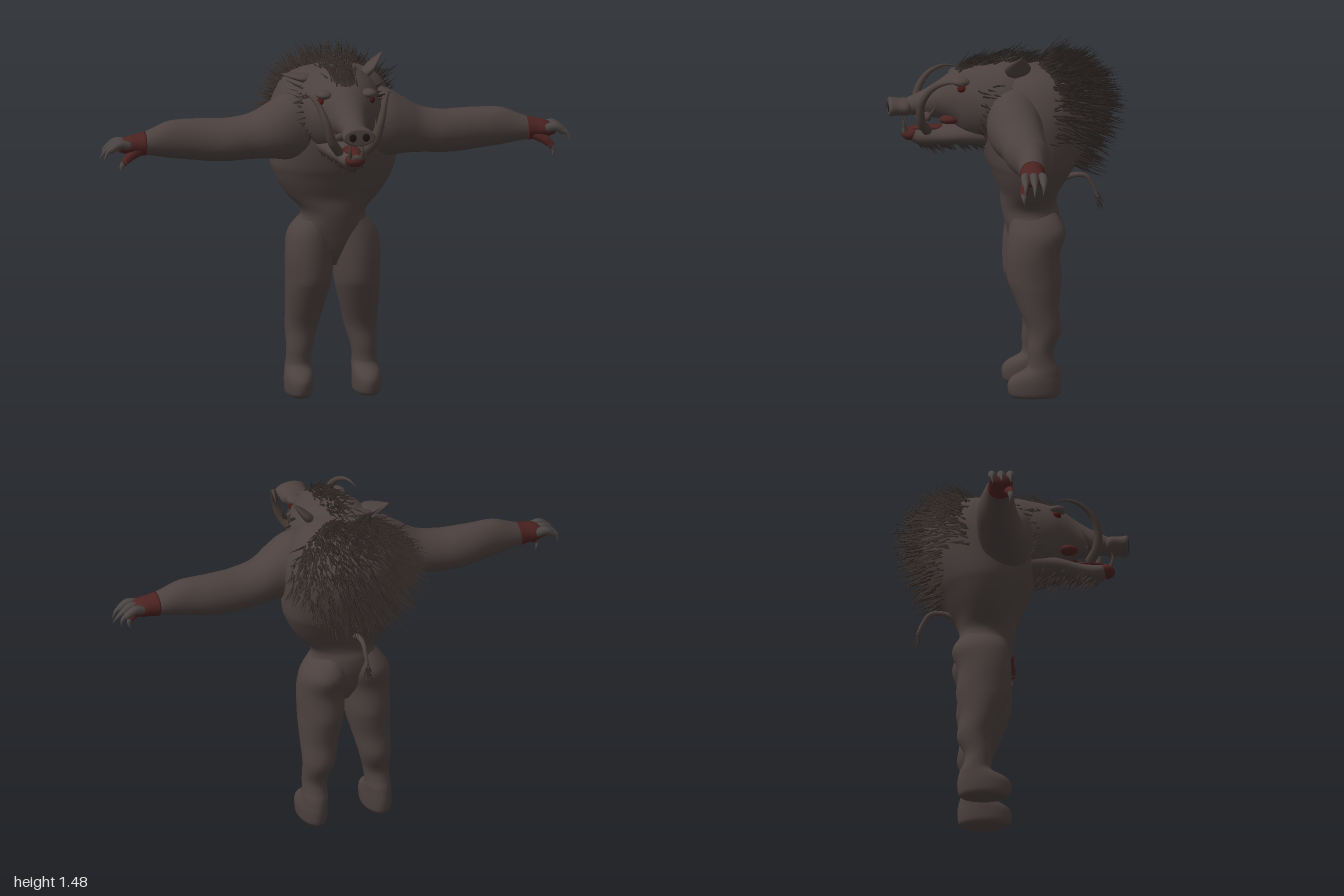
import * as THREE from 'three';
import { mergeGeometries } from 'three/addons/utils/BufferGeometryUtils.js';

const V = (x, y, z) => new THREE.Vector3(x, y, z);
const mat = (name, color, side = THREE.FrontSide) => {
  const m = new THREE.MeshStandardMaterial({ color, side });
  m.name = name;
  return m;
};

// Small seeded random
let seed = 7;
const rnd = () => (seed = (seed * 16807) % 2147483647) / 2147483647;

// Smooth surface through rows [position, centreA, centreB, radiusA, radiusB].
// Ring axes: 'y' uses (z, x), 'x' uses (y, z), 'z' uses (x, y).
function surface(axis, rows) {
  const last = rows.length - 1;
  return (t, a) => {
    const i = Math.min(Math.floor(t), last - 1), f = t - i;
    const row = k => rows[THREE.MathUtils.clamp(k, 0, last)];
    const [p, ca, cb, ra, rb] = rows[0].map((_, c) => {
      const [p0, p1, p2, p3] = [row(i - 1)[c], row(i)[c], row(i + 1)[c], row(i + 2)[c]];
      return p1 + 0.5 * f * (p2 - p0 + f * (2 * p0 - 5 * p1 + 4 * p2 - p3 + f * (3 * (p1 - p2) + p3 - p0)));
    });
    const A = ca + ra * Math.cos(a), B = cb + rb * Math.sin(a);
    return axis === 'y' ? V(B, p, A) : axis === 'x' ? V(p, A, B) : V(A, B, p);
  };
}

// Closed skin over a surface, with capped ends
function loft(axis, rows, sides = 28, steps = 4) {
  const at = surface(axis, rows), n = (rows.length - 1) * steps, pos = [], idx = [];
  for (let i = 0; i <= n; i++)
    for (let j = 0; j < sides; j++) pos.push(...at(i / steps, j / sides * Math.PI * 2).toArray());
  for (const i of [0, n])
    pos.push(...at(i / steps, 0).add(at(i / steps, Math.PI)).multiplyScalar(0.5).toArray());
  const c0 = (n + 1) * sides, c1 = c0 + 1;
  for (let j = 0; j < sides; j++) {
    const k = (j + 1) % sides;
    for (let i = 0; i < n; i++) {
      const a = i * sides;
      idx.push(a + j, a + k, a + sides + j, a + k, a + sides + k, a + sides + j);
    }
    idx.push(c0, k, j, c1, n * sides + j, n * sides + k);
  }
  const g = new THREE.BufferGeometry();
  g.setAttribute('position', new THREE.Float32BufferAttribute(pos, 3));
  g.setIndex(idx);
  g.computeVertexNormals();
  return g;
}

// Tube whose radius shrinks from r to r * end
function taper(points, r, end = 0.03, power = 1, n = 20) {
  const curve = new THREE.CatmullRomCurve3(points.map(p => V(...p)));
  const g = new THREE.TubeGeometry(curve, n, r, 10), p = g.attributes.position, v = V();
  for (let i = 0; i < p.count; i++) {
    const t = Math.floor(i / 11) / n, c = curve.getPointAt(t);
    v.fromBufferAttribute(p, i).sub(c).multiplyScalar(1 - (1 - end) * t ** power).add(c);
    p.setXYZ(i, v.x, v.y, v.z);
  }
  return g;
}

const ball = (x, y, z, a, b, c) => new THREE.SphereGeometry(1, 18, 12).scale(a, b, c).translate(x, y, z);

// Mirror copy across x = 0 with corrected corner order
function mirror(g) {
  const m = g.clone().scale(-1, 1, 1), ix = m.index.array;
  for (let i = 0; i < ix.length; i += 3) [ix[i], ix[i + 1]] = [ix[i + 1], ix[i]];
  return m;
}

// One bristle from a root along a direction
function bristle(root, dir, len, r) {
  const g = new THREE.ConeGeometry(r, len, 3, 1, true).translate(0, len * 0.42, 0);
  g.applyQuaternion(new THREE.Quaternion().setFromUnitVectors(V(0, 1, 0), dir.clone().normalize()));
  return g.translate(root.x, root.y, root.z);
}

// Bristles growing from a surface, leaning along a given vector
function fur(at, count, pick, lean, stand, len, r) {
  const list = [], e = 0.02;
  for (let i = 0; i < count; i++) {
    const [t, a] = pick(), p = at(t, a);
    const n = at(t, a + e).sub(p).cross(at(t + e, a).sub(p)).normalize();
    const d = n.multiplyScalar(stand).add(lean).add(V(rnd() - 0.5, rnd() - 0.5, rnd() - 0.5).multiplyScalar(0.5));
    list.push(bristle(p, d, len * (0.5 + 0.85 * rnd()), r));
  }
  return mergeGeometries(list);
}

export function createModel() {
  seed = 7;
  const model = new THREE.Group();
  const skin = mat('skin', 0x4c413f), hair = mat('bristle hair', 0x352d2a, THREE.DoubleSide);
  const flesh = mat('red flesh', 0x4b2321), claw = mat('claw', 0x4a4442);
  const tusk = mat('tusk', 0x483d38), eye = mat('eye', 0x451513), dark = mat('nostril', 0x1c1514);
  const add = (name, g, m) => {
    const mesh = new THREE.Mesh(g, m);
    mesh.name = name;
    model.add(mesh);
  };
  const pair = (name, g, m) => {
    add(name + 'Left', g, m);
    add(name + 'Right', mirror(g), m);
  };

  // Hunched torso
  const torso = [
    [0.55, -0.1, 0, 0.04, 0.03], [0.62, -0.1, 0, 0.085, 0.09], [0.70, -0.1, 0, 0.11, 0.16],
    [0.76, -0.093, 0, 0.118, 0.136], [0.80, -0.085, 0, 0.116, 0.143], [0.85, -0.088, 0, 0.123, 0.19],
    [0.90, -0.092, 0, 0.148, 0.225], [0.95, -0.097, 0, 0.173, 0.25], [1.0, -0.103, 0, 0.2, 0.265],
    [1.1, -0.115, 0, 0.233, 0.268], [1.2, -0.125, 0, 0.245, 0.262], [1.28, -0.13, 0, 0.23, 0.235],
    [1.34, -0.125, 0, 0.185, 0.195], [1.38, -0.11, 0, 0.125, 0.13], [1.4, -0.1, 0, 0.05, 0.05]];
  add('torso', loft('y', torso, 40), skin);

  // Legs with feet
  pair('leg', loft('y', [
    [0, -0.1, 0.143, 0.09, 0.045], [0.015, -0.098, 0.143, 0.107, 0.057], [0.06, -0.098, 0.143, 0.112, 0.06],
    [0.09, -0.107, 0.142, 0.1, 0.058], [0.12, -0.13, 0.14, 0.07, 0.054], [0.15, -0.128, 0.139, 0.058, 0.052],
    [0.2, -0.123, 0.135, 0.055, 0.055], [0.28, -0.14, 0.125, 0.071, 0.068], [0.37, -0.118, 0.115, 0.083, 0.08],
    [0.45, -0.106, 0.106, 0.104, 0.092], [0.5, -0.101, 0.102, 0.114, 0.096], [0.6, -0.096, 0.1, 0.111, 0.1],
    [0.68, -0.112, 0.092, 0.12, 0.099], [0.73, -0.11, 0.08, 0.108, 0.08], [0.77, -0.1, 0.07, 0.085, 0.05],
    [0.8, -0.095, 0.06, 0.04, 0.03]]), skin);

  // Arms
  pair('arm', loft('x', [
    [0.08, 1.17, -0.03, 0.15, 0.12], [0.2, 1.165, -0.015, 0.145, 0.122], [0.28, 1.147, -0.015, 0.119, 0.108],
    [0.36, 1.122, -0.03, 0.096, 0.097], [0.45, 1.11, -0.036, 0.09, 0.093], [0.52, 1.11, -0.043, 0.09, 0.087],
    [0.6, 1.115, -0.045, 0.086, 0.078], [0.7, 1.12, -0.038, 0.078, 0.063], [0.78, 1.112, -0.033, 0.055, 0.054],
    [0.83, 1.105, -0.028, 0.042, 0.046], [0.85, 1.103, -0.028, 0.03, 0.035]]), skin);

  // Hands, fingers and claws
  pair('palm', loft('x', [
    [0.805, 1.108, -0.03, 0.051, 0.053], [0.84, 1.106, -0.028, 0.044, 0.049], [0.88, 1.104, -0.026, 0.037, 0.05],
    [0.92, 1.1, -0.026, 0.02, 0.042]], 20), flesh);
  pair('thumb', taper([[0.83, 1.09, -0.01], [0.88, 1.06, 0.01], [0.905, 1.035, 0.015]], 0.026, 0.55), flesh);
  pair('thumbClaw', taper([[0.895, 1.045, 0.014], [0.912, 1.02, 0.014], [0.905, 0.99, 0.01]], 0.016), claw);
  [-0.064, -0.026, 0.012].forEach((z, i) => {
    const x = [0.975, 1, 0.985][i];
    pair('finger' + i, taper([[0.88, 1.108, z * 0.8 - 0.005], [0.92, 1.115, z], [0.955, 1.095, z]], 0.021, 0.7), claw);
    pair('claw' + i, taper([[0.945, 1.1, z], [0.97, 1.085, z], [x, 1.05, z + 0.004]], 0.015), claw);
  });

  // Head, snout and jaw
  const head = [
    [-0.12, 0, 1.25, 0.16, 0.14], [0, 0, 1.25, 0.18, 0.168], [0.1, 0, 1.237, 0.168, 0.168],
    [0.18, 0, 1.24, 0.138, 0.147], [0.23, 0, 1.252, 0.105, 0.112], [0.28, 0, 1.245, 0.076, 0.083],
    [0.34, 0, 1.23, 0.06, 0.06], [0.39, 0, 1.222, 0.05, 0.043], [0.43, 0, 1.213, 0.046, 0.034]];
  add('head', loft('z', head, 36), skin);
  add('snoutDisc', loft('z', [[0.405, 0, 1.213, 0.045, 0.03], [0.425, 0, 1.214, 0.064, 0.036],
    [0.46, 0, 1.215, 0.062, 0.035], [0.49, 0, 1.215, 0.069, 0.039], [0.5, 0, 1.215, 0.06, 0.032]]), skin);
  pair('nostril', ball(0.028, 1.215, 0.498, 0.017, 0.019, 0.005), dark);
  const jaw = [
    [0.08, 0, 1.1, 0.11, 0.06], [0.2, 0, 1.1, 0.095, 0.048], [0.3, 0, 1.09, 0.062, 0.038],
    [0.37, 0, 1.088, 0.05, 0.036], [0.41, 0, 1.1, 0.036, 0.026], [0.44, 0, 1.112, 0.02, 0.012]];
  add('lowerJaw', loft('z', jaw), skin);
  add('lowerLip', ball(0, 1.1, 0.405, 0.043, 0.029, 0.04), flesh);
  add('tongue', ball(0, 1.125, 0.33, 0.035, 0.012, 0.08), flesh);
  pair('mouthCorner', ball(0.06, 1.17, 0.25, 0.035, 0.02, 0.042), flesh);

  // Tusks and teeth
  pair('tusk', taper([[0.055, 1.12, 0.34], [0.09, 1.17, 0.37], [0.115, 1.25, 0.37], [0.14, 1.32, 0.325],
    [0.165, 1.348, 0.26], [0.18, 1.34, 0.2]], 0.021, 0.05, 1.6), tusk);
  pair('upperTusk', taper([[0.045, 1.19, 0.34], [0.08, 1.18, 0.34], [0.1, 1.21, 0.325], [0.105, 1.25, 0.3]], 0.016), tusk);
  pair('tooth', taper([[0.024, 1.11, 0.425], [0.027, 1.145, 0.435], [0.024, 1.18, 0.43]], 0.01, 0.1), tusk);

  // Eyes and brows
  pair('eye', ball(0.103, 1.308, 0.2, 0.019, 0.017, 0.021), eye);
  pair('brow', ball(0.093, 1.336, 0.203, 0.036, 0.019, 0.038), skin);

  // Ears: one raised, one held out sideways
  const ear = loft('y', [[-0.02, 0, 0, 0.025, 0.018], [0.02, 0, 0, 0.045, 0.02], [0.05, -0.003, 0, 0.055, 0.016],
    [0.085, -0.008, 0, 0.038, 0.01], [0.125, -0.015, 0, 0.003, 0.002]], 18);
  add('earLeft', ear.clone().rotateZ(-0.72).translate(0.115, 1.36, -0.025), skin);
  add('earRight', ear.clone().rotateZ(1.4).translate(-0.105, 1.355, -0.025), skin);

  // Mane over the back and flanks, crest on the head, beard on cheeks and jaw
  const back = surface('y', torso), skull = surface('z', head), chin = surface('z', jaw);
  const spread = () => rnd() + rnd() - 1;
  add('backMane', fur(back, 1300, () => {
    const t = 7 + 6.7 * Math.sqrt(rnd());
    return [t, Math.PI + (2 * rnd() - 1) * Math.min(1.25, 0.3 + (t - 7) * 0.3)];
  }, V(0, -0.25, -0.6), 0.5, 0.112, 0.006), hair);
  add('flankMane', fur(back, 130, () => [9 + 3 * rnd(), Math.PI + (rnd() < 0.5 ? 1 : -1) * (0.9 + 0.5 * rnd())],
    V(0, -0.1, -0.55), 0.6, 0.1, 0.006), hair);
  add('crest', fur(skull, 380, () => [rnd() * 3.7, Math.PI / 2 + spread() * 0.42],
    V(0, 0.05, -0.8), 0.3, 0.075, 0.0055), hair);
  add('cheekBeard', fur(skull, 110, () => [0.9 + rnd() * 1.5, rnd() < 0.5 ? -0.75 + rnd() * 1.3 : Math.PI + 0.75 - rnd() * 1.3],
    V(0, -0.25, -0.6), 0.5, 0.065, 0.0055), hair);
  add('jawBeard', fur(chin, 80, () => [0.4 + rnd() * 2.7, -Math.PI / 2 + spread() * 1.2],
    V(0, -0.3, -0.7), 0.3, 0.05, 0.005), hair);

  // Tail with tuft
  add('tail', taper([[0, 0.87, -0.19], [0, 0.905, -0.26], [0, 0.905, -0.32], [0, 0.86, -0.355], [0, 0.81, -0.375]], 0.014, 0.5), skin);
  const tuft = [];
  for (let i = 0; i < 36; i++)
    tuft.push(bristle(V(0, 0.83 - rnd() * 0.03, -0.367 - rnd() * 0.008),
      V(spread() * 0.6, -0.9, -0.3 + spread() * 0.6), 0.04 + rnd() * 0.03, 0.005));
  add('tailTuft', mergeGeometries(tuft), hair);
  return model;
}
